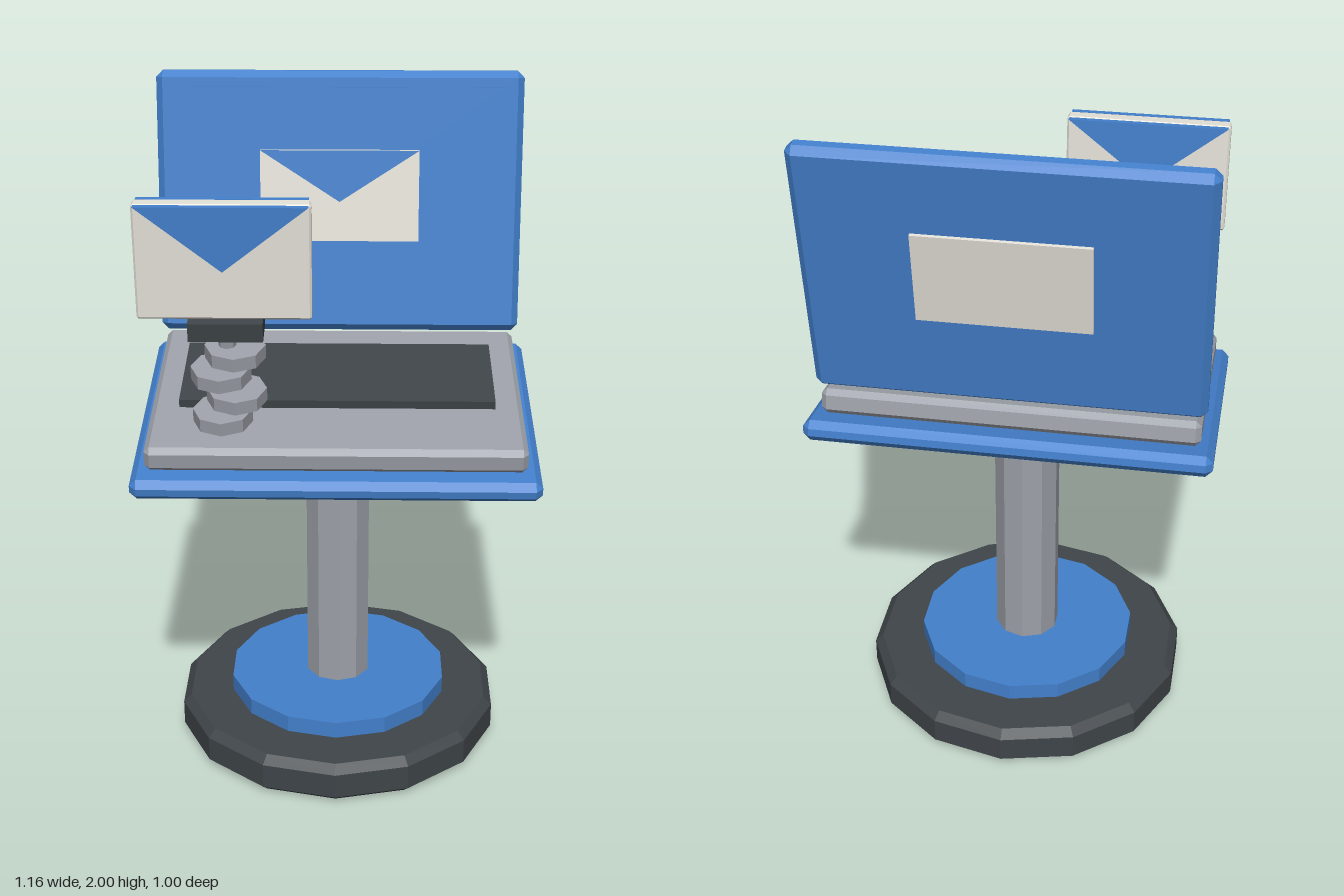
import * as THREE from 'three';
import { ConvexGeometry } from 'three/addons/geometries/ConvexGeometry.js';

const paint = (name, color) => {
  const m = new THREE.MeshStandardMaterial({ color });
  m.name = name;
  return m;
};

// One normal per face for the faceted look
function faceted(geometry) {
  const g = geometry.index ? geometry.toNonIndexed() : geometry;
  g.computeVertexNormals();
  return g;
}

// Box with all edges and corners cut at 45 degrees
function chamferBox(w, h, d, c) {
  const points = [];
  for (const x of [-1, 1]) for (const y of [-1, 1]) for (const z of [-1, 1]) {
    const [X, Y, Z] = [x * w / 2, y * h / 2, z * d / 2];
    points.push(
      new THREE.Vector3(X, Y - y * c, Z - z * c),
      new THREE.Vector3(X - x * c, Y, Z - z * c),
      new THREE.Vector3(X - x * c, Y - y * c, Z));
  }
  return new ConvexGeometry(points);
}

// Downward triangle hanging from y = 0, its depth running from z = 0 forwards
function flapGeometry(width, drop, depth) {
  const shape = new THREE.Shape();
  shape.moveTo(-width / 2, 0);
  shape.lineTo(0, -drop);
  shape.lineTo(width / 2, 0);
  return new THREE.ExtrudeGeometry(shape, { depth, bevelEnabled: false });
}

const box = (w, h, d) => new THREE.BoxGeometry(w, h, d);
const prism = (r, h, sides) => faceted(new THREE.CylinderGeometry(r, r, h, sides));

function add(parent, name, geometry, material, x = 0, y = 0, z = 0) {
  const mesh = new THREE.Mesh(geometry, material);
  mesh.name = name;
  mesh.position.set(x, y, z);
  parent.add(mesh);
  return mesh;
}

function addGroup(parent, name, x, y, z, tilt) {
  const g = new THREE.Group();
  g.name = name;
  g.position.set(x, y, z);
  g.rotation.x = tilt;
  parent.add(g);
  return g;
}

export function createModel() {
  const blue = paint('blue', 0x4380cc);
  const dark = paint('charcoal', 0x3f4549);
  const grey = paint('grey', 0x9da1a9);
  const cream = paint('cream', 0xe4e2d8);
  const model = new THREE.Group();
  model.name = 'laptopMailbox';

  // Round foot, collar and post
  const foot = [[0, 0], [0.475, 0], [0.5, 0.022], [0.5, 0.1], [0.475, 0.125], [0, 0.125]]
    .map(([r, y]) => new THREE.Vector2(r, y));
  add(model, 'foot', faceted(new THREE.LatheGeometry(foot, 14)), dark);
  add(model, 'collar', prism(0.34, 0.06, 14), blue, 0, 0.147, 0);
  add(model, 'post', prism(0.1, 0.78, 10), grey, 0, 0.55, 0);
  add(model, 'mount', chamferBox(0.32, 0.095, 0.24, 0.018), dark, 0, 0.963, 0);

  // Tilted tray with the keyboard half on it
  const deck = addGroup(model, 'deck', 0, 1.046, 0.004, 0.15);
  add(deck, 'tray', chamferBox(1.16, 0.062, 0.83, 0.02), blue);
  add(deck, 'laptopBase', chamferBox(1.08, 0.075, 0.71, 0.016), grey, 0, 0.069, 0.004);
  add(deck, 'keyboard', box(0.917, 0.025, 0.338), dark, 0, 0.119, -0.041);

  // Leaning lid with its panel and envelope emblem
  const lid = addGroup(model, 'lid', 0, 1.606, -0.355, -0.152);
  add(lid, 'lidShell', chamferBox(1.106, 0.79, 0.065, 0.02), blue);
  add(lid, 'screen', box(0.98, 0.685, 0.03), blue, 0, 0.005, 0.032);
  add(lid, 'screenEnvelope', box(0.48, 0.275, 0.014), cream, 0, 0.026, 0.053);
  add(lid, 'screenEnvelopeFlap', flapGeometry(0.476, 0.153, 0.012), blue, 0, 0.162, 0.06);
  add(lid, 'rearEnvelope', box(0.48, 0.275, 0.012), cream, 0, 0.026, -0.037);

  // Spring: staggered eight-sided rings on a thin rod, topped by a clamp
  const spring = addGroup(model, 'spring', -0.3, 1.264, 0.28, 0.15);
  add(spring, 'rod', prism(0.025, 0.34, 8), grey);
  for (let i = 0; i < 4; i++) {
    add(spring, 'springRing', prism(0.085, 0.04, 8), grey, i % 2 ? 0.021 : -0.021, -0.104 + i * 0.069, 0);
  }
  add(spring, 'clamp', box(0.205, 0.055, 0.1), dark, 0, 0.188, 0.004);

  // Raised envelope with a flap on each side
  const letter = addGroup(model, 'flagEnvelope', -0.302, 1.641, 0.336, 0.045);
  add(letter, 'envelopeBody', chamferBox(0.476, 0.325, 0.048, 0.006), cream);
  for (const side of [0, Math.PI]) {
    const flap = add(letter, 'envelopeFlap', flapGeometry(0.462, 0.18, 0.02), blue, 0, 0.161, side ? -0.024 : 0.024);
    flap.rotation.y = side;
  }
  return model;
}
